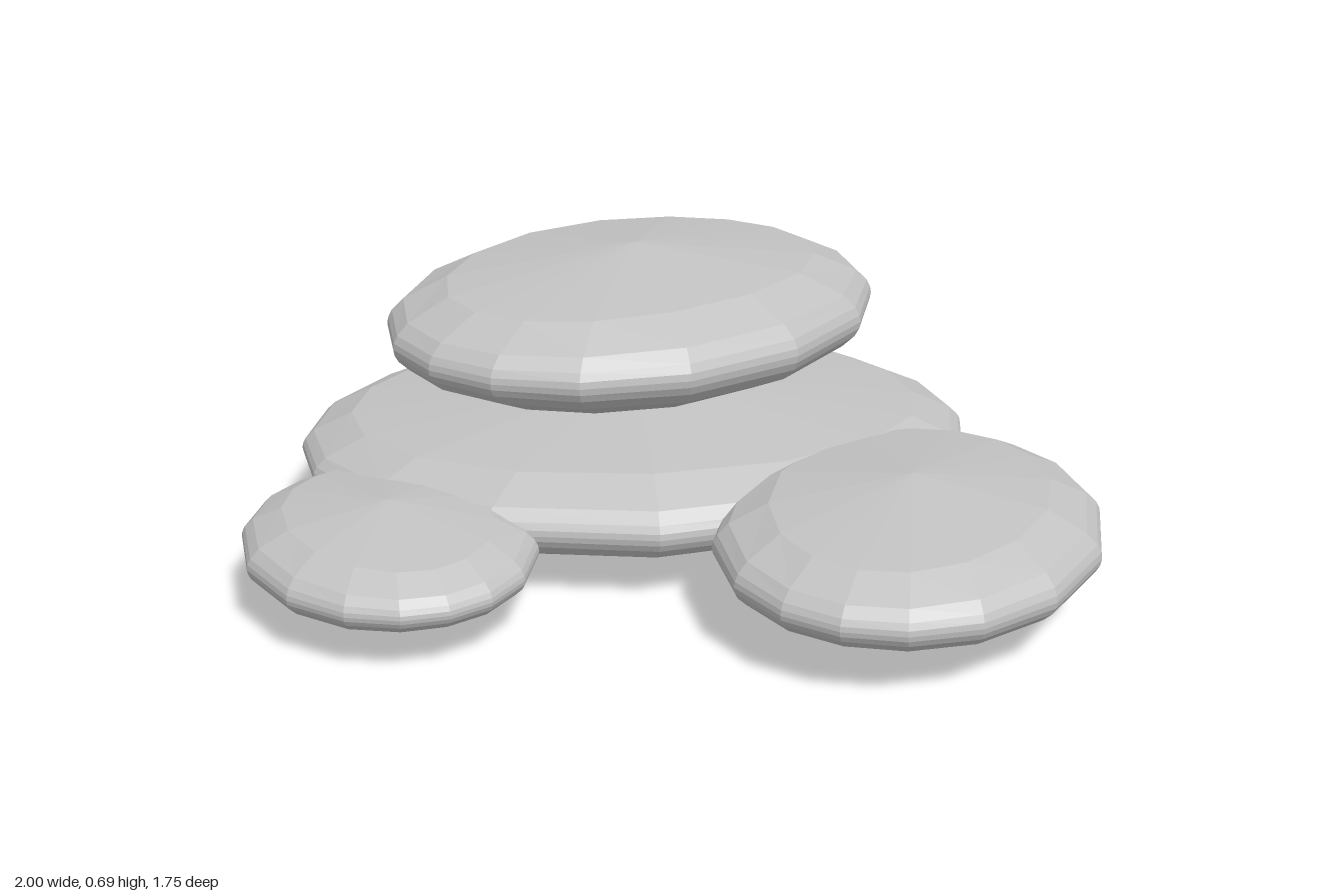
import * as THREE from 'three';

const stoneMaterial = new THREE.MeshStandardMaterial({ color: 0xc2c2c2, flatShading: true });
stoneMaterial.name = 'stone grey';

// Flat pebble: sphere squashed to half-sizes a, h, b, with its rings gathered towards the rim
function pebble(a, h, b) {
  const sphere = new THREE.SphereGeometry(1, 16, 10);
  const size = new THREE.Vector3(a, h, b);
  const pos = sphere.attributes.position;
  const v = new THREE.Vector3();
  for (let i = 0; i < pos.count; i++) {
    v.fromBufferAttribute(pos, i).multiply(size).normalize().multiply(size);
    pos.setXYZ(i, v.x, v.y, v.z);
  }
  const geometry = sphere.toNonIndexed();
  geometry.computeVertexNormals();
  return geometry;
}

// name, half-sizes, centre, turn about y
const stones = [
  ['baseStone', [0.857, 0.173, 0.675], [-0.15, 0.173, -0.21], 0.2],
  ['topStone', [0.672, 0.173, 0.55], [-0.152, 0.517, -0.22], 0.9],
  ['leftStone', [0.555, 0.143, 0.443], [0.552, 0.173, 0.333], 1.3],
  ['rightStone', [0.417, 0.11, 0.333], [-0.645, 0.145, 0.46], -1.02],
];

export function createModel() {
  const group = new THREE.Group();
  group.name = 'stoneStack';
  for (const [name, size, centre, turn] of stones) {
    const mesh = new THREE.Mesh(pebble(...size), stoneMaterial);
    mesh.name = name;
    mesh.position.set(...centre);
    mesh.rotation.y = turn;
    group.add(mesh);
  }
  return group;
}
